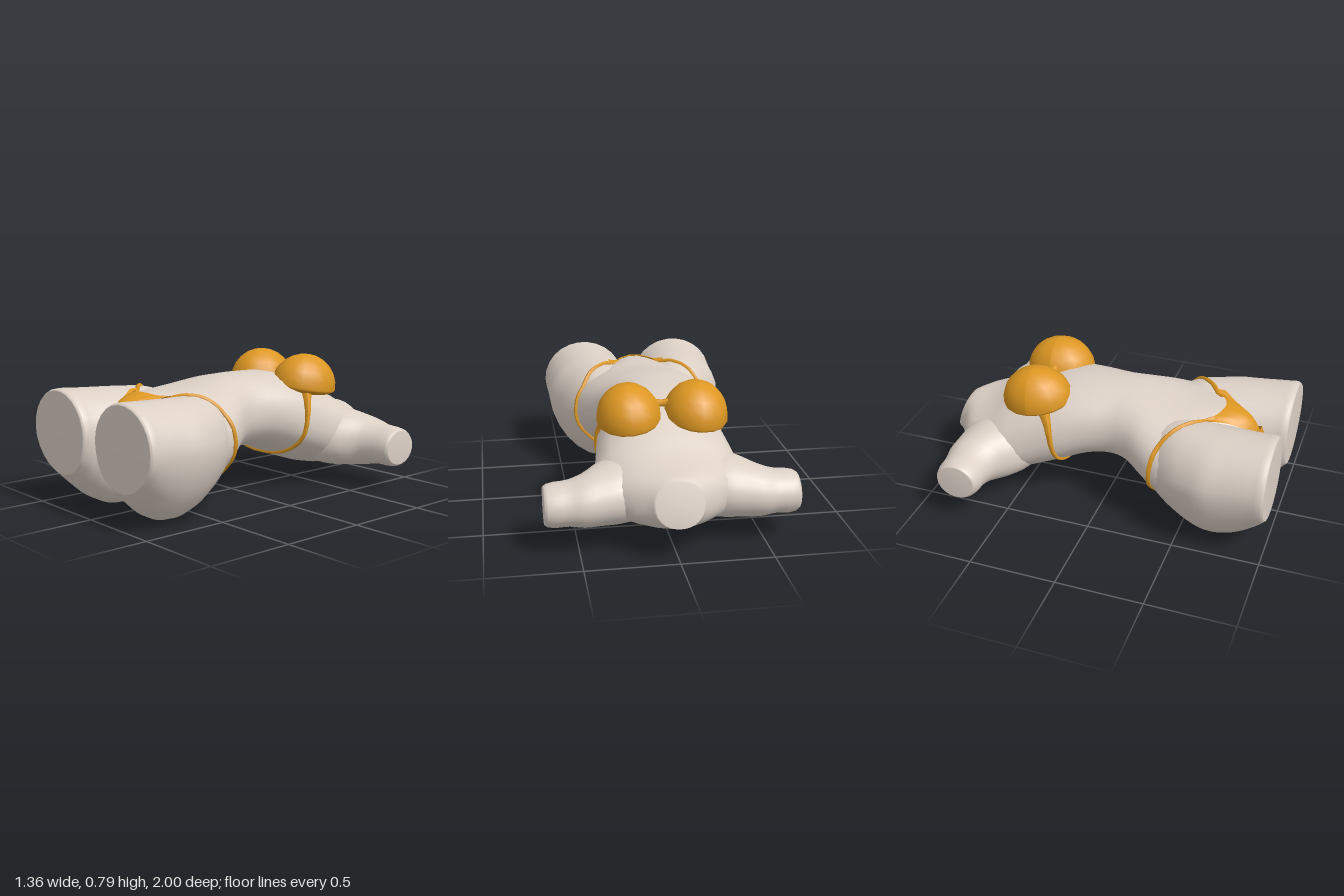
import * as THREE from 'three';

const SKIN = new THREE.MeshStandardMaterial({ color: 0xdcd0c6 });
const CLOTH = new THREE.MeshStandardMaterial({ color: 0xdd9722, side: THREE.DoubleSide });

// Stations: [position, centre, half width, bottom, widest height, top]
const TORSO = [
  [-0.965, 0, 0.125, 0.2, 0.32, 0.43], [-0.93, 0, 0.16, 0.185, 0.32, 0.445],
  [-0.87, 0, 0.25, 0.15, 0.3, 0.455], [-0.8, 0, 0.33, 0.13, 0.29, 0.47],
  [-0.7, 0, 0.38, 0.105, 0.29, 0.51], [-0.6, 0, 0.4, 0.097, 0.3, 0.57],
  [-0.5, 0, 0.39, 0.11, 0.32, 0.62], [-0.4, 0, 0.37, 0.14, 0.36, 0.66],
  [-0.25, 0, 0.345, 0.2, 0.42, 0.695], [-0.1, 0, 0.305, 0.26, 0.47, 0.705],
  [0.05, 0, 0.28, 0.28, 0.48, 0.705], [0.15, 0, 0.31, 0.265, 0.47, 0.7],
  [0.25, 0, 0.37, 0.21, 0.44, 0.685], [0.35, 0, 0.415, 0.15, 0.4, 0.67],
  [0.45, 0, 0.42, 0.13, 0.39, 0.66], [0.6, 0, 0.3, 0.115, 0.38, 0.655],
  [0.72, 0, 0.18, 0.13, 0.37, 0.64], [0.82, 0, 0.08, 0.18, 0.36, 0.58],
  [0.88, 0, 0.03, 0.24, 0.35, 0.46],
];
const LEG = [
  [0.25, 0.2, 0.13, 0.28, 0.4, 0.53], [0.35, 0.22, 0.18, 0.16, 0.38, 0.61],
  [0.45, 0.235, 0.23, 0.08, 0.38, 0.645], [0.55, 0.25, 0.26, 0.025, 0.38, 0.655],
  [0.65, 0.27, 0.275, 0.003, 0.39, 0.66], [0.75, 0.28, 0.268, 0.01, 0.4, 0.665],
  [0.85, 0.29, 0.26, 0.06, 0.42, 0.67], [0.93, 0.297, 0.256, 0.13, 0.43, 0.675],
  [0.985, 0.3, 0.253, 0.19, 0.44, 0.675], [1, 0.3, 0.24, 0.205, 0.44, 0.665],
];
const ARM = [
  [0.15, -0.6, 0.22, 0.12, 0.29, 0.45], [0.28, -0.63, 0.23, 0.112, 0.28, 0.46],
  [0.38, -0.665, 0.205, 0.12, 0.27, 0.44], [0.47, -0.715, 0.16, 0.13, 0.265, 0.41],
  [0.55, -0.725, 0.138, 0.145, 0.26, 0.385], [0.66, -0.73, 0.124, 0.148, 0.26, 0.372],
  [0.68, -0.73, 0.11, 0.162, 0.26, 0.36],
];

// Smooth skin through oval stations along z, closed by a fan at each end
function loft(stations, centreSign, power, warp = () => {}) {
  const sides = 26, perSpan = 3, spans = stations.length - 1;
  const spline = new THREE.CubicInterpolant(
    Float32Array.from(stations, (s) => s[0]),
    Float32Array.from(stations.flatMap((s) => s.slice(1))), 5);
  const round = (v) => Math.sign(v) * Math.abs(v) ** (2 / power);
  const rings = [];
  for (let i = 0; i <= spans * perSpan; i++) {
    const k = Math.min(Math.floor(i / perSpan), spans - 1);
    const z = THREE.MathUtils.lerp(stations[k][0], stations[k + 1][0], i / perSpan - k);
    const [c, w, low, mid, high] = spline.evaluate(z);
    rings.push(Array.from({ length: sides }, (_, j) => {
      const a = (j / sides) * Math.PI * 2, s = round(Math.sin(a));
      const p = new THREE.Vector3(c * centreSign + w * round(Math.cos(a)),
        mid + s * (s > 0 ? high - mid : mid - low), z);
      warp(p);
      return p;
    }));
  }
  const points = rings.flat(), index = [];
  for (let i = 0; i < rings.length - 1; i++) {
    for (let j = 0; j < sides; j++) {
      const a = i * sides + j, b = i * sides + (j + 1) % sides;
      index.push(a, b, a + sides, b, b + sides, a + sides);
    }
  }
  for (const [row, end] of [[0, false], [rings.length - 1, true]]) {
    const centre = points.length;
    points.push(rings[row].reduce((sum, p) => sum.add(p), new THREE.Vector3())
      .divideScalar(sides));
    for (let j = 0; j < sides; j++) {
      const a = row * sides + j, b = row * sides + (j + 1) % sides;
      index.push(centre, end ? a : b, end ? b : a);
    }
  }
  const geometry = new THREE.BufferGeometry().setFromPoints(points);
  geometry.setIndex(index);
  geometry.computeVertexNormals();
  return geometry;
}

export function createModel() {
  const model = new THREE.Group(), body = new THREE.Group();
  body.name = 'body';
  model.add(body);
  const add = (parent, name, geometry, material) => {
    const mesh = new THREE.Mesh(geometry, material);
    mesh.name = name;
    parent.add(mesh);
    return mesh;
  };

  // Torso, with the neck cut leaning back
  add(body, 'torso', loft(TORSO, 1, 2.2, (p) => {
    const k = THREE.MathUtils.clamp((-0.85 - p.z) / 0.115, 0, 1);
    p.z += k * 0.29 * (p.y - 0.32);
  }), SKIN);
  // Thighs lean inwards towards the bottom; arms run sideways
  for (const [side, label] of [[1, 'left'], [-1, 'right']]) {
    add(body, label + 'Thigh', loft(LEG, side, 2, (p) => {
      p.x -= side * 0.13 * Math.max(0, 0.38 - p.y);
    }), SKIN);
    add(body, label + 'Arm', loft(ARM, -side, 2).rotateY(side * Math.PI / 2), SKIN);
  }

  // Nearest body point when looking from outside towards a target
  const caster = new THREE.Raycaster();
  const project = (target, out, lift) => {
    caster.set(target.clone().addScaledVector(out, 2), out.clone().negate());
    const hit = caster.intersectObject(body, true)[0];
    return (hit ? hit.point : target.clone()).addScaledVector(out, lift);
  };

  // Round cord whose thickness follows a rule along its length
  const cord = (name, points, radius, taper = () => 1) => {
    const curve = new THREE.CatmullRomCurve3(points), steps = 90, sides = 6;
    const geometry = new THREE.TubeGeometry(curve, steps, radius, sides);
    const pos = geometry.attributes.position, v = new THREE.Vector3();
    for (let i = 0; i < pos.count; i++) {
      const t = Math.floor(i / (sides + 1)) / steps, c = curve.getPointAt(t);
      v.fromBufferAttribute(pos, i).sub(c).multiplyScalar(taper(t)).add(c);
      pos.setXYZ(i, v.x, v.y, v.z);
    }
    geometry.computeVertexNormals();
    add(model, name, geometry, CLOTH);
  };

  // Strap around the body from [angle, z] pairs on one side, mirrored to the other
  const strap = (name, half, radius, taper) => {
    const other = half.slice(0, -1).reverse().map(([a, z]) => [-180 - a, z]);
    const path = new THREE.SplineCurve([...half, ...other].map((p) => new THREE.Vector2(...p)));
    cord(name, path.getPoints(50).map((p) => {
      const a = THREE.MathUtils.degToRad(p.x);
      return project(new THREE.Vector3(0, 0.4, p.y),
        new THREE.Vector3(Math.cos(a), Math.sin(a), 0), 0.001);
    }), radius, taper);
  };

  // Cloth panel between two z edges, laid on the body from above or below
  const panel = (name, halfWidth, near, far, dir) => {
    const n = 24, m = 10;
    const geometry = new THREE.PlaneGeometry(1, 1, n, m), pos = geometry.attributes.position;
    const out = new THREE.Vector3(0, dir, 0);
    for (let i = 0; i < pos.count; i++) {
      const x = pos.getX(i) * 2 * halfWidth, t = 0.5 - pos.getY(i);
      const z = THREE.MathUtils.lerp(near(Math.abs(x)), far(Math.abs(x)), t);
      const p = project(new THREE.Vector3(x, 0.4, z), out, 0.01);
      pos.setXYZ(i, p.x, p.y, p.z);
    }
    if (dir < 0) geometry.index.array.reverse();
    geometry.computeVertexNormals();
    add(model, name, geometry, CLOTH);
  };

  // Bra cups: domes with a shallow underside, tipped up towards the waist
  for (const side of [1, -1]) {
    const dome = new THREE.SphereGeometry(1, 16, 12), pos = dome.attributes.position;
    for (let i = 0; i < pos.count; i++) if (pos.getY(i) < 0) pos.setY(i, pos.getY(i) * 0.25);
    dome.scale(0.178, 0.19, 0.205);
    dome.computeVertexNormals();
    const cup = add(model, side > 0 ? 'leftCup' : 'rightCup', dome, CLOTH);
    cup.position.set(side * 0.184, 0.61, -0.412);
    cup.rotation.set(-0.14, 0, -side * 0.1);
  }
  cord('cupBridge', [-0.06, 0, 0.06].map((x) =>
    new THREE.Vector3(x, 0.68, -0.4)), 0.022, (t) => 0.85 + Math.abs(t - 0.5));
  strap('braStrap', [[36, -0.35], [20, -0.3], [-5, -0.27], [-40, -0.245], [-90, -0.24]],
    0.013, (t) => 1 + 2.2 * Math.abs(2 * t - 1) ** 6);

  // Briefs: hip strap, front panel, back triangle and the cord joining them
  strap('hipStrap', [[64, 0.61], [53, 0.545], [40, 0.45], [25, 0.375], [10, 0.338],
    [-12, 0.325], [-35, 0.335], [-60, 0.36], [-90, 0.4]], 0.014);
  const lowerEdge = (x) => (x < 0.07 ? 0.875 - x * 1.07
    : x < 0.12 ? 0.8 - (x - 0.07) * 2.4 : 0.68 - (x - 0.12) * 1.4);
  panel('frontPanel', 0.175, (x) => 0.65 - 2.2 * x * x / (x + 0.55), lowerEdge, 1);
  panel('backTriangle', 0.14, (x) => 0.39 - x * 0.2,
    (x) => 0.41 - x * 0.2 + 0.1 * (1 - x / 0.14) ** 2, -1);
  const seam = Array.from({ length: 40 }, (_, i) => {
    const a = THREE.MathUtils.degToRad(40 - i * 4.2);
    return project(new THREE.Vector3(0, 0.35, 0.6),
      new THREE.Vector3(0, Math.sin(a), Math.cos(a)), -0.002);
  });
  cord('centreCord', seam, 0.012, (t) => 1 + 1.6 * Math.max(0, 1 - t * 3.5));

  return model;
}
